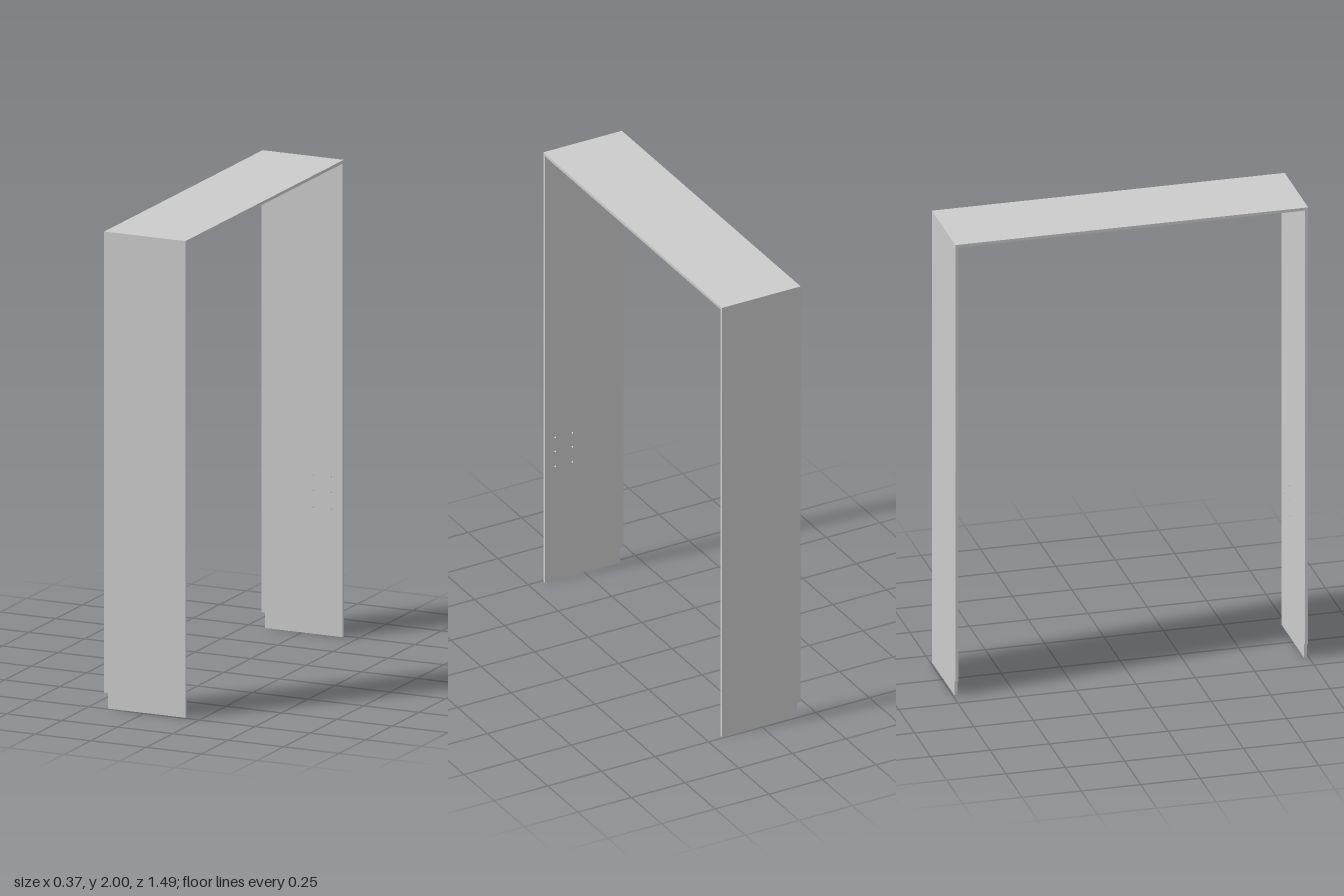
import * as THREE from 'three';

const W = 0.183, D = 0.743, H = 2, T = 0.013; // half width, half depth, height, board thickness
const SKIN = 0.004; // solid outer layer behind the blind holes

export function createModel() {
  const group = new THREE.Group();
  const material = new THREE.MeshStandardMaterial({ color: 0xcccccc });

  // Side board outline with a skirting notch at one lower corner
  const outline = () => new THREE.Shape([
    [-W + 0.016, 0], [W, 0], [W, H - T], [-W, H - T], [-W, 0.065], [-W + 0.016, 0.065],
  ].map(([x, y]) => new THREE.Vector2(x, y)));

  const layer = (shape, depth, z) => {
    const geometry = new THREE.ExtrudeGeometry(shape, { depth, bevelEnabled: false, curveSegments: 6 });
    geometry.translate(0, 0, z);
    return new THREE.Mesh(geometry, material);
  };

  // Two side boards, with small blind fixing holes on their inner faces
  for (const side of [1, -1]) {
    const drilled = outline();
    for (const x of [0.055, 0.135]) {
      for (const y of [0.53, 0.6, 0.665]) {
        drilled.holes.push(new THREE.Path().absarc(x, y, 0.004, 0, Math.PI * 2, true));
      }
    }
    const board = new THREE.Group();
    board.name = side > 0 ? 'frontBoard' : 'backBoard';
    const outer = layer(outline(), SKIN, side > 0 ? D - SKIN : -D);
    outer.name = 'outerLayer';
    const inner = layer(drilled, T - SKIN, side > 0 ? D - T : -D + SKIN);
    inner.name = 'drilledInnerLayer';
    board.add(outer, inner);
    group.add(board);
  }

  // Top board resting on both sides
  const top = new THREE.Mesh(new THREE.BoxGeometry(2 * W, T, 2 * D), material);
  top.name = 'topBoard';
  top.position.y = H - T / 2;
  group.add(top);

  return group;
}
